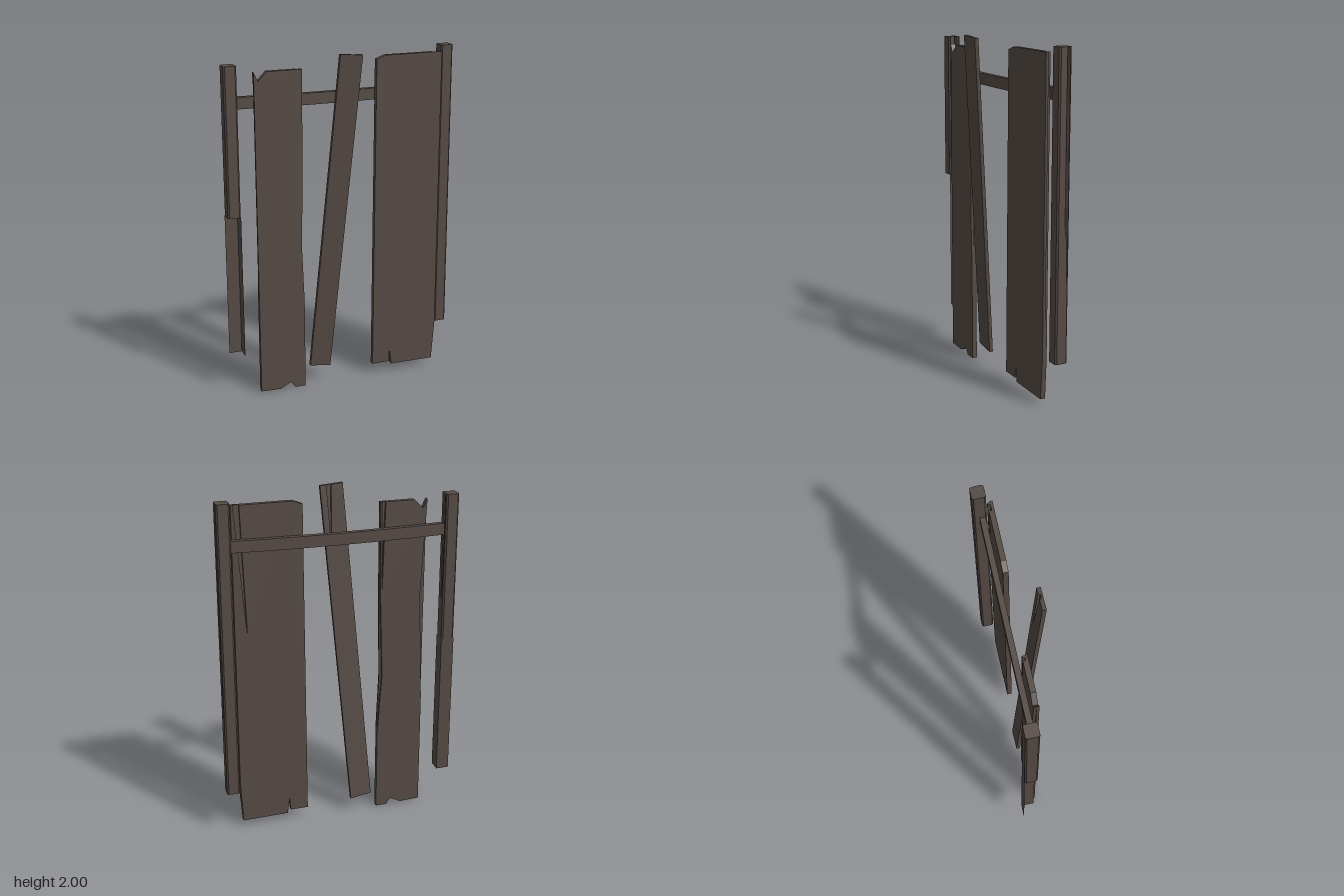
import * as THREE from 'three';

const wood = new THREE.MeshStandardMaterial({ color: 0x554a44 });
wood.name = 'weathered wood';
wood.flatShading = true;
const openWood = new THREE.MeshStandardMaterial({ color: 0x554a44, side: THREE.DoubleSide });
openWood.name = 'split wood';

const toShape = (pts) => new THREE.Shape(pts.map(([x, y]) => new THREE.Vector2(x, y)));

// Apply a rule to every vertex, then refresh the normals
function bend(geo, rule) {
  const p = geo.attributes.position;
  const v = new THREE.Vector3();
  for (let i = 0; i < p.count; i++) {
    v.fromBufferAttribute(p, i);
    rule(v);
    p.setXYZ(i, v.x, v.y, v.z);
  }
  geo.computeVertexNormals();
  return geo;
}

// A board made of a front layer and a cracked back layer
function board(name, front, back, zFront, thickness, lean = 0) {
  const g = new THREE.Group();
  g.name = name;
  [[front, 1, 'FrontFace'], [back, 2, 'CrackedBack']].forEach(([pts, layer, part]) => {
    const geo = new THREE.ExtrudeGeometry(toShape(pts), { depth: thickness / 2, bevelEnabled: false });
    geo.translate(0, 0, zFront - layer * thickness / 2);
    bend(geo, (v) => { v.z += lean * v.y; });
    const m = new THREE.Mesh(geo, wood);
    m.name = name + part;
    g.add(m);
  });
  return g;
}

// A chamfered post whose +x side opens into a crack towards the top
function post(name, x, z, y0, y1, crackZ) {
  const h = 0.0375, c = 0.009, w = 0.009, depth = 0.022;
  const pts = [
    [-h + c, -h], [h - c, -h], [h, -h + c],
    [h, crackZ - w], [h, crackZ], [h, crackZ + w],
    [h, h - c], [h - c, h], [-h + c, h], [-h, h - c], [-h, -h + c],
  ];
  const geo = new THREE.ExtrudeGeometry(toShape(pts), { depth: y1 - y0, steps: 4, bevelEnabled: false });
  bend(geo, (v) => {
    const t = Math.max(0, v.z / (y1 - y0) - 0.25) / 0.75;
    if (Math.abs(v.x - h) < 1e-5 && Math.abs(v.y - crackZ) < 1e-5) v.x -= depth * t;
  });
  geo.rotateX(-Math.PI / 2);
  geo.translate(x, y0, z);
  const m = new THREE.Mesh(geo, wood);
  m.name = name;
  return m;
}

export function createModel() {
  const model = new THREE.Group();
  model.name = 'brokenFence';

  // Posts
  model.add(post('leftPost', 0.6475, -0.0825, 0.27, 1.985, 0.018));
  model.add(post('rightPostUpper', -0.6475, -0.0825, 1.09, 1.945, 0.008));

  // Split lower half of the right post: only its back and inner sides remain
  const split = new THREE.Group();
  split.name = 'rightPostSplitLower';
  const backSide = new THREE.Mesh(new THREE.PlaneGeometry(0.075, 0.85), openWood);
  backSide.name = 'splitBackSide';
  backSide.position.set(-0.6475, 0.665, -0.12);
  const innerSide = new THREE.Mesh(new THREE.PlaneGeometry(0.075, 0.85), openWood);
  innerSide.name = 'splitInnerSide';
  innerSide.rotation.y = Math.PI / 2;
  innerSide.position.set(-0.61, 0.665, -0.0825);
  split.add(backSide, innerSide);
  model.add(split);

  // Sagging cross rail
  const railGeo = bend(new THREE.BoxGeometry(1.23, 0.066, 0.032, 6, 1, 1).toNonIndexed(), (v) => {
    v.y -= 0.008 * (1 - (v.x / 0.615) ** 2);
  });
  const rail = new THREE.Mesh(railGeo, wood);
  rail.name = 'crossRail';
  rail.position.set(0, 1.74, -0.07);
  model.add(rail);

  // Board with a notched top and a worn waist
  const notchedFoot = [[-0.525, 0.01], [-0.405, 0.005], [-0.34, 0.04], [-0.315, 0.0], [-0.25, 0.0]];
  const notchedTop = [[-0.45, 1.91], [-0.5, 1.86], [-0.525, 1.91]];
  model.add(board('notchedBoard',
    [...notchedFoot, [-0.25, 0.55], [-0.262, 0.87], [-0.252, 1.4], [-0.25, 1.91], ...notchedTop],
    [...notchedFoot, [-0.25, 0.5], [-0.275, 0.87], [-0.256, 1.4], [-0.252, 1.91],
      [-0.262, 1.91], [-0.265, 1.35], [-0.28, 1.91], ...notchedTop, [-0.497, 1.35], [-0.523, 0.7]],
    -0.015, 0.03));

  // Wide board with a split foot
  const wideFoot = [[0.185, 0.065], [0.29, 0.065], [0.297, 0.145], [0.31, 0.045], [0.58, 0.04]];
  const wideTop = [[0.25, 1.955], [0.196, 1.935]];
  model.add(board('wideBoard',
    [...wideFoot, [0.598, 0.28], [0.6, 1.955], ...wideTop],
    [...wideFoot, [0.592, 0.28], [0.592, 1.955], [0.58, 1.955], [0.52, 1.2], [0.545, 1.955], ...wideTop],
    -0.015, 0.03));

  // Loose board leaning forward
  const looseFoot = [[-0.207, 0.11], [-0.08, 0.09]];
  model.add(board('leaningBoard',
    [...looseFoot, [0.057, 1.99], [-0.075, 2.0]],
    [...looseFoot, [0.057, 1.99], [0.02, 1.993], [0.0, 1.65], [-0.008, 1.995], [-0.075, 2.0]],
    -0.0535, 0.022, 0.0866));

  return model;
}
